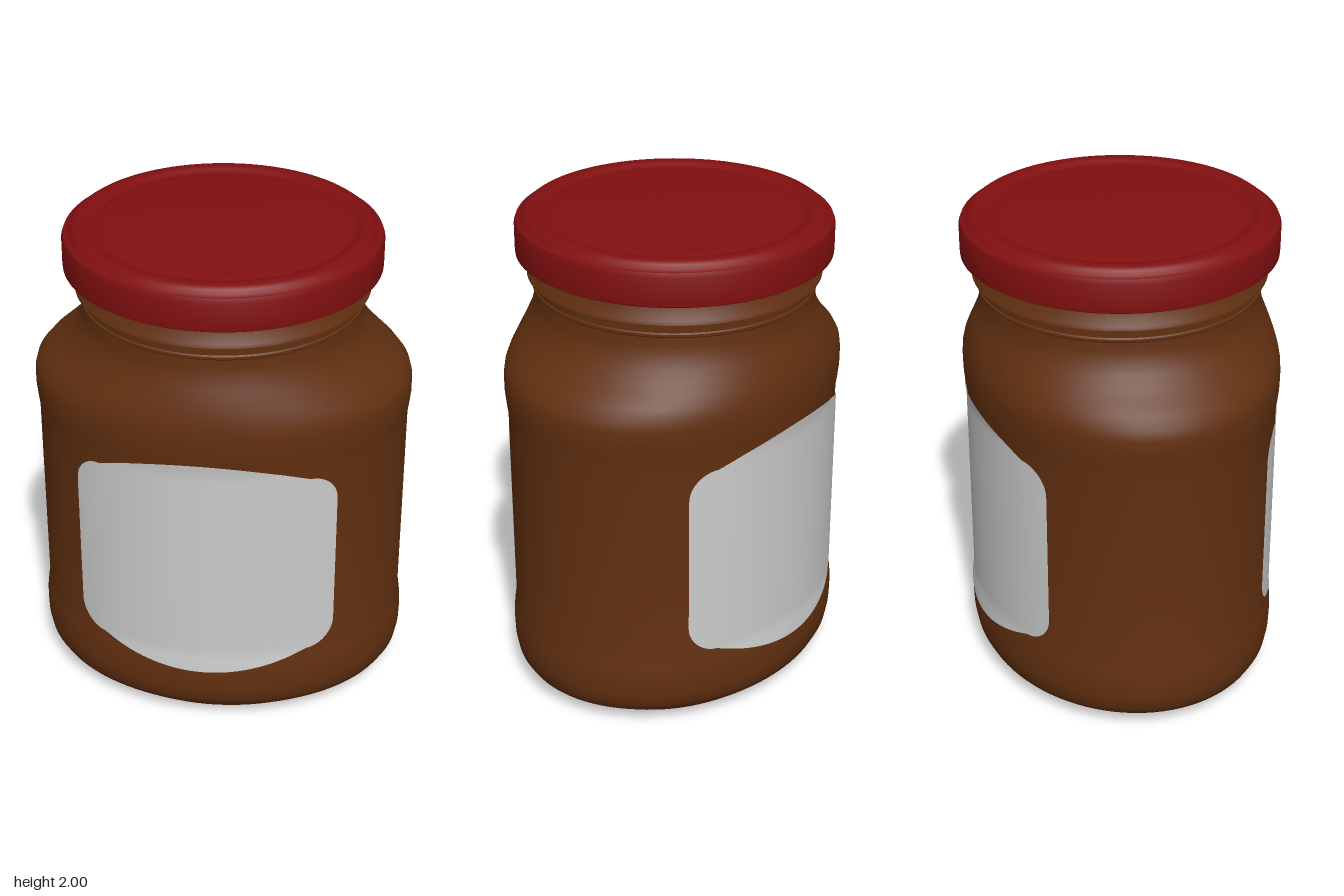
import * as THREE from 'three';
import { mergeVertices, toCreasedNormals } from 'three/addons/utils/BufferGeometryUtils.js';

const SEGMENTS = 96;
const material = (color) => new THREE.MeshStandardMaterial({ color, side: THREE.DoubleSide });

// Body profile rows: [y, half width in x, half depth in z], oval below and round at the neck
const BODY = [
  [0.012, 0.001, 0.001], [0.012, 0.56, 0.46], [0, 0.60, 0.50], [0, 0.632, 0.522],
  [0.02, 0.645, 0.53], [0.035, 0.665, 0.545], [0.05, 0.705, 0.58], [0.075, 0.742, 0.607],
  [0.11, 0.764, 0.625], [0.16, 0.774, 0.634], [0.21, 0.776, 0.636], [0.26, 0.775, 0.635],
  [0.3, 0.77, 0.631], [0.34, 0.763, 0.625], [0.77, 0.763, 0.625], [1.2, 0.763, 0.625],
  [1.25, 0.769, 0.632], [1.3, 0.774, 0.637], [1.36, 0.773, 0.638], [1.4, 0.762, 0.636],
  [1.44, 0.728, 0.63], [1.48, 0.68, 0.62], [1.52, 0.637, 0.607], [1.56, 0.604, 0.592],
  [1.6, 0.58, 0.576], [1.64, 0.569, 0.568], [1.68, 0.566, 0.566], [1.685, 0.571, 0.571],
  [1.695, 0.571, 0.571], [1.7, 0.566, 0.566], [1.735, 0.566, 0.566], [1.742, 0.593, 0.593],
  [1.755, 0.588, 0.588], [1.78, 0.566, 0.566], [1.83, 0.557, 0.557], [1.94, 0.55, 0.55],
  [1.95, 0.53, 0.53], [1.95, 0.001, 0.001],
];

// Lathe whose rows are squeezed in z, with smooth normals across the seam
function ovalLathe(rows, crease) {
  const geometry = new THREE.LatheGeometry(rows.map(([y, rx]) => new THREE.Vector2(rx, y)), SEGMENTS);
  const position = geometry.attributes.position;
  for (let i = 0; i < position.count; i++) {
    const [, rx, rz] = rows[i % rows.length];
    position.setZ(i, position.getZ(i) * rz / rx);
  }
  geometry.deleteAttribute('uv');
  geometry.deleteAttribute('normal');
  return toCreasedNormals(mergeVertices(geometry), crease);
}

// Half width and half depth of the body wall at a given height
function wallAt(y) {
  const k = BODY.findIndex((row, i) => i > 3 && row[0] >= y);
  const [a, b] = [BODY[k - 1], BODY[k]];
  const t = (y - a[0]) / (b[0] - a[0]);
  return [a[1] + (b[1] - a[1]) * t, a[2] + (b[2] - a[2]) * t];
}

// Half height of the label: shallow arch with rounded corners
function labelHalfHeight(x) {
  const shoulder = 0.42;
  if (x <= shoulder) return 0.495 - 0.085 * (x / shoulder) ** 2;
  const t = Math.min(1, (x - shoulder) / 0.103);
  return 0.29 + 0.12 * Math.sqrt(1 - t * t);
}

// Label sheet wrapped just outside the body wall
function labelGeometry() {
  const geometry = new THREE.PlaneGeometry(2, 2, 64, 40);
  const position = geometry.attributes.position;
  for (let i = 0; i < position.count; i++) {
    const x = 0.523 * Math.sin(position.getX(i) * Math.PI / 2);
    const y = 0.755 + position.getY(i) * labelHalfHeight(Math.abs(x));
    const [rx, rz] = wallAt(y);
    const lift = 0.004;
    position.setXYZ(i, x, y, (rz + lift) * Math.sqrt(1 - (x / (rx + lift)) ** 2));
  }
  geometry.computeVertexNormals();
  return geometry;
}

// Short sloping thread ridge around the neck
function threadGeometry(start) {
  const points = [];
  for (let i = 0; i <= 12; i++) {
    const t = i / 12, angle = start + t * 1.3;
    const r = 0.555 + 0.012 * Math.sin(t * Math.PI);
    points.push(new THREE.Vector3(Math.sin(angle) * r, 1.825 + 0.055 * t, Math.cos(angle) * r));
  }
  return new THREE.TubeGeometry(new THREE.CatmullRomCurve3(points), 32, 0.015, 8);
}

export function createModel() {
  const model = new THREE.Group();
  const add = (name, geometry, mat) => {
    const mesh = new THREE.Mesh(geometry, mat);
    mesh.name = name;
    model.add(mesh);
    return mesh;
  };
  const brown = material(0x623010), red = material(0x800f10), grey = material(0xcccccc);

  // Filled jar
  add('jarBody', ovalLathe(BODY, 0.75), brown);
  for (let i = 0; i < 4; i++) add('neckThread', threadGeometry(i * Math.PI / 2), brown);

  // Lid: hollow underside, rolled lower edge, bevelled shoulder and sunken centre panel
  const lid = [
    [1.96, 0.001], [1.96, 0.605], [1.85, 0.61], [1.832, 0.615], [1.828, 0.625], [1.835, 0.636],
    [1.85, 0.637], [1.95, 0.637], [1.968, 0.63], [1.974, 0.612], [1.99, 0.602], [2, 0.588],
    [2, 0.555], [1.995, 0.538], [1.984, 0.525], [1.984, 0.51], [1.991, 0.495], [1.993, 0.47],
    [1.993, 0.001],
  ].map(([y, r]) => [y, r, r]);
  add('lid', ovalLathe(lid, 0.8), red);

  // Labels on both faces
  const label = labelGeometry();
  add('frontLabel', label, grey);
  add('backLabel', label, grey).rotation.y = Math.PI;

  return model;
}
